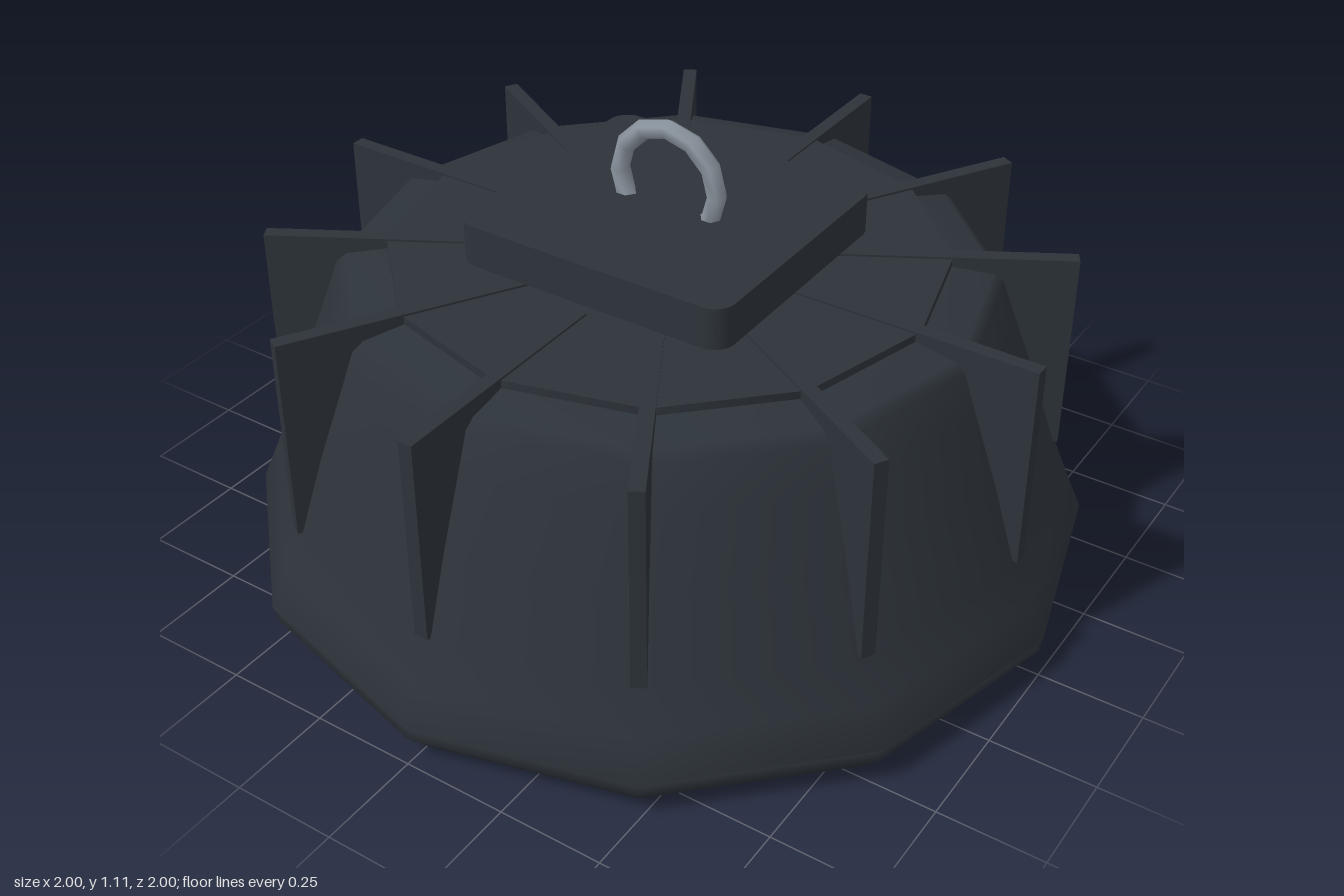
import * as THREE from 'three';

const SIDES = 12;
const mat = (color, double) => new THREE.MeshStandardMaterial({ color, side: double ? THREE.DoubleSide : THREE.FrontSide });
const dark = mat(0x2d333a), shell = mat(0x2d333a, true);
const steel = mat(0x8a949e), rimGrey = mat(0x7c8690, true);
const panelGrey = mat(0x555555), hubGrey = mat(0x454b52), yellow = mat(0x8a7a30);

function add(parent, name, geometry, material, x = 0, y = 0, z = 0) {
  const mesh = new THREE.Mesh(geometry, material);
  mesh.name = name;
  mesh.position.set(x, y, z);
  parent.add(mesh);
  return mesh;
}

// Twelve-sided turned part from [radius, height] pairs
const turned = (pairs) => new THREE.LatheGeometry(pairs.map(([r, y]) => new THREE.Vector2(r, y)), SIDES);

function roundedRect(w, d, r) {
  const s = new THREE.Shape();
  s.absarc(w / 2 - r, d / 2 - r, r, 0, Math.PI / 2);
  s.absarc(-w / 2 + r, d / 2 - r, r, Math.PI / 2, Math.PI);
  s.absarc(-w / 2 + r, -d / 2 + r, r, Math.PI, Math.PI * 1.5);
  s.absarc(w / 2 - r, -d / 2 + r, r, Math.PI * 1.5, Math.PI * 2);
  return s;
}

export function createModel() {
  const lamp = new THREE.Group();
  lamp.name = 'highBayLamp';

  // Flared housing with a soft shoulder
  add(lamp, 'housing', turned([
    [0.975, 0.085], [1.0, 0.1], [0.962, 0.19], [0.922, 0.29], [0.86, 0.48], [0.8, 0.64],
    [0.765, 0.735], [0.74, 0.755], [0.64, 0.772],
  ]), shell);

  // Lower bezel, notched below the housing
  add(lamp, 'bezel', turned([[0.87, 0.002], [0.935, 0], [0.995, 0.068], [0.972, 0.085]]), shell);

  // Top plate
  add(lamp, 'topPlate', new THREE.CylinderGeometry(0.645, 0.645, 0.02, SIDES), dark, 0, 0.78, 0);

  // Radial cooling fins
  const fins = new THREE.Group();
  fins.name = 'coolingFins';
  lamp.add(fins);
  const finGeometry = new THREE.BoxGeometry(0.585, 0.495, 0.034).translate(0.6325, 0.5475, 0);
  for (let i = 0; i < SIDES; i++) {
    add(fins, 'fin', finGeometry, dark).rotation.y = (i / SIDES) * Math.PI * 2;
  }

  // Driver box
  const boxGeometry = new THREE.ExtrudeGeometry(roundedRect(0.7, 0.65, 0.05), { depth: 0.1, bevelEnabled: false, curveSegments: 6 });
  boxGeometry.rotateX(-Math.PI / 2);
  add(lamp, 'driverBox', boxGeometry, dark, 0, 0.8, 0);

  // Hanging ring, sunk into the driver box
  add(lamp, 'hangingRing', new THREE.TorusGeometry(0.129, 0.024, 6, 12), steel, 0, 0.957, 0);

  // Underside panel with its rim
  add(lamp, 'panel', new THREE.CylinderGeometry(0.86, 0.86, 0.03, SIDES), panelGrey, 0, 0.033, 0);
  add(lamp, 'panelRim', turned([[0.845, 0.03], [0.845, 0.002], [0.875, 0.002], [0.875, 0.03]]), rimGrey);
  add(lamp, 'hub', new THREE.CylinderGeometry(0.106, 0.106, 0.02, 24), hubGrey, 0, 0.012, 0);

  // Three rings of lenses: radius, count, angular offset in steps
  const lenses = new THREE.Group();
  lenses.name = 'lenses';
  lamp.add(lenses);
  const lensGeometry = new THREE.CylinderGeometry(0.038, 0.038, 0.012, 12);
  const diodeGeometry = new THREE.CylinderGeometry(0.015, 0.015, 0.006, 8);
  for (const [radius, count, offset] of [[0.765, 36, 0.5], [0.59, 24, 0], [0.375, 12, 0.5]]) {
    for (let i = 0; i < count; i++) {
      const a = ((i + offset) / count) * Math.PI * 2;
      const x = Math.cos(a) * radius, z = Math.sin(a) * radius;
      add(lenses, 'lens', lensGeometry, panelGrey, x, 0.014, z);
      add(lenses, 'diode', diodeGeometry, yellow, x, 0.008, z);
    }
  }
  return lamp;
}
